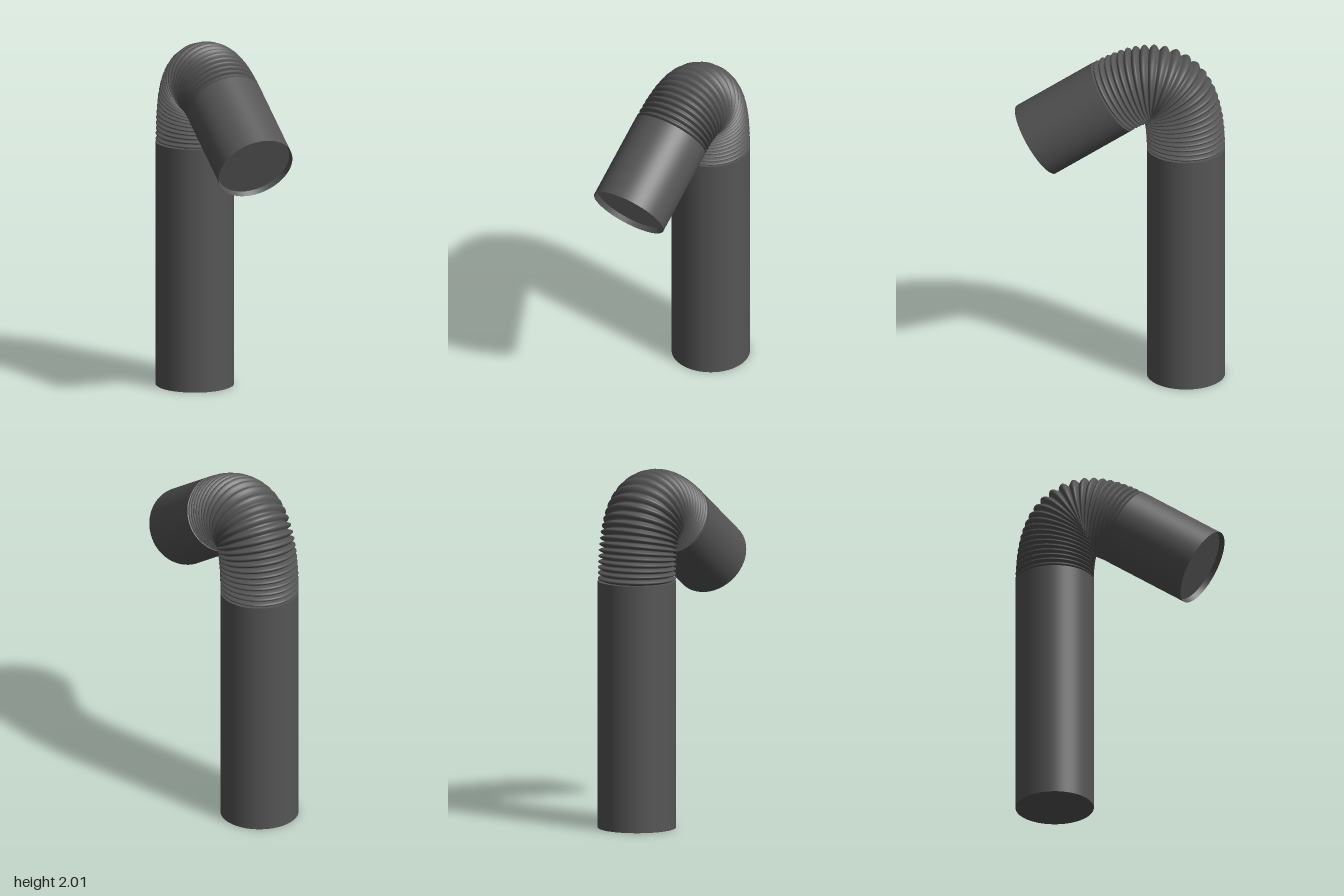
import * as THREE from 'three';

const R = 0.22;
const SIDES = 64;

const dark = new THREE.MeshStandardMaterial({ color: 0x555555, side: THREE.DoubleSide });
const capMaterial = new THREE.MeshStandardMaterial({ color: 0x707070, side: THREE.DoubleSide });

function addMesh(parent, name, geometry, material = dark) {
  const mesh = new THREE.Mesh(geometry, material);
  mesh.name = name;
  parent.add(mesh);
  return mesh;
}

// Corrugated sleeve: rings of varying radius swept along a curve in the YZ plane
function bellowsGeometry(curve, ribs, stepsPerRib, depth) {
  const rows = ribs * stepsPerRib;
  const side = new THREE.Vector3(1, 0, 0);
  const positions = [];
  const index = [];
  for (let i = 0; i <= rows; i++) {
    const centre = curve.getPointAt(i / rows);
    const normal = side.clone().cross(curve.getTangentAt(i / rows));
    const r = R - depth + depth * Math.abs(Math.sin((Math.PI * i) / stepsPerRib));
    for (let j = 0; j < SIDES; j++) {
      const a = (j / SIDES) * Math.PI * 2;
      const p = centre.clone()
        .addScaledVector(side, r * Math.cos(a))
        .addScaledVector(normal, r * Math.sin(a));
      positions.push(p.x, p.y, p.z);
      if (i < rows) {
        const k = (j + 1) % SIDES;
        const row = i * SIDES;
        const next = row + SIDES;
        index.push(row + j, next + j, row + k, next + j, next + k, row + k);
      }
    }
  }
  const geometry = new THREE.BufferGeometry();
  geometry.setAttribute('position', new THREE.Float32BufferAttribute(positions, 3));
  geometry.setIndex(index);
  geometry.computeVertexNormals();
  return geometry;
}

export function createModel() {
  const model = new THREE.Group();
  model.name = 'bendyPipe';

  // Upright pipe, closed at both ends
  const height = 1.4;
  const upright = addMesh(model, 'uprightPipe', new THREE.CylinderGeometry(R, R, height, SIDES));
  upright.position.set(0, height / 2, -0.37);

  // Flexible elbow
  const base = new THREE.Vector3(0, height, -0.37);
  const outlet = new THREE.Vector3(0, 1.7, 0.043);
  const direction = new THREE.Vector3(0, -0.543, 0.84).normalize();
  const corner = outlet.clone().addScaledVector(direction, (base.z - outlet.z) / direction.z);
  const bend = new THREE.QuadraticBezierCurve3(base, corner, outlet);
  addMesh(model, 'flexibleElbow', bellowsGeometry(bend, 25, 8, 0.03));

  // Angled spout with a thin rim and a recessed end disc
  const spout = new THREE.Group();
  spout.name = 'spout';
  spout.position.copy(outlet);
  spout.quaternion.setFromUnitVectors(new THREE.Vector3(0, 1, 0), direction);
  model.add(spout);

  const length = 0.51;
  const recess = 0.03;
  const inner = R - 0.008;
  const wall = addMesh(spout, 'spoutWall', new THREE.CylinderGeometry(R, R, length, SIDES, 1, true));
  wall.position.y = length / 2;

  const lip = addMesh(spout, 'spoutLip', new THREE.CylinderGeometry(R, inner, recess, SIDES, 1, true));
  lip.position.y = length - recess / 2;

  const disc = addMesh(spout, 'spoutEndDisc', new THREE.CircleGeometry(inner, SIDES), capMaterial);
  disc.rotation.x = -Math.PI / 2;
  disc.position.y = length - recess;

  const back = addMesh(spout, 'spoutCollar', new THREE.CircleGeometry(R, SIDES));
  back.rotation.x = Math.PI / 2;

  return model;
}
